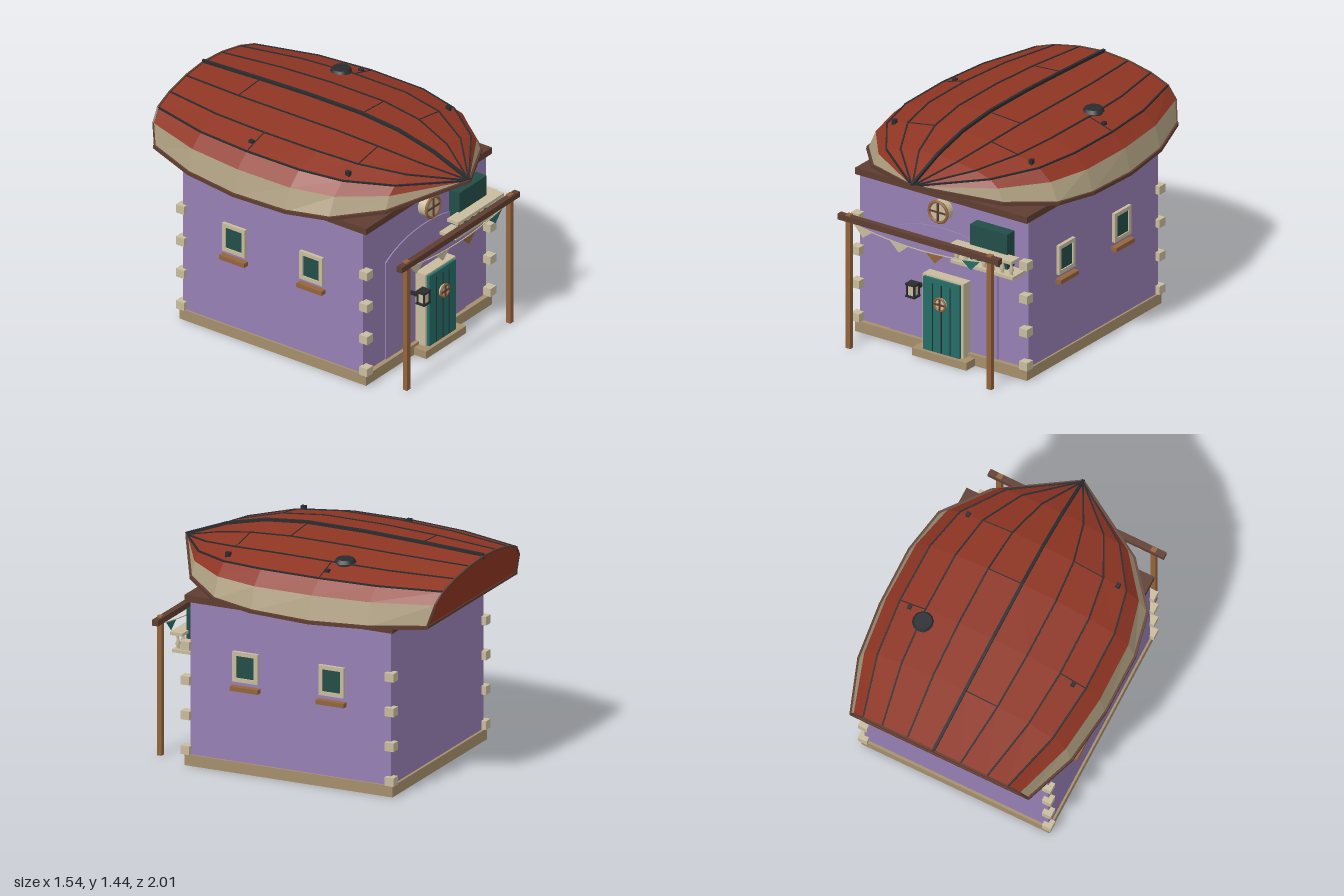
import * as THREE from 'three';

const mat = (name, color, double) => {
  const m = new THREE.MeshStandardMaterial({ color });
  m.name = name;
  if (double) m.side = THREE.DoubleSide;
  return m;
};

export function createModel() {
  const lilac = mat('lilac plaster', 0x967fb4);
  const stone = mat('base stone', 0xa58e6c);
  const cream = mat('cream stone', 0xc8bc9e, true);
  const hullTan = mat('hull tan', 0xb0a182);
  const red = mat('hull red', 0x8f3523, true);
  const darkBrown = mat('dark timber', 0x5f3d31);
  const brown = mat('light timber', 0x94643c, true);
  const teal = mat('teal paint', 0x246d67, true);
  const glass = mat('dark glass', 0x234d47);
  const charcoal = mat('charcoal', 0x2a2b2e, true);

  const model = new THREE.Group();
  const group = (name, parent = model) => {
    const g = new THREE.Group();
    g.name = name;
    parent.add(g);
    return g;
  };
  const add = (parent, name, geo, material) => {
    const m = new THREE.Mesh(geo, material);
    m.name = name;
    parent.add(m);
    return m;
  };
  // Box given by its extents on each axis
  const box = (parent, name, material, x0, x1, y0, y1, z0, z1) => {
    const m = add(parent, name, new THREE.BoxGeometry(x1 - x0, y1 - y0, z1 - z0), material);
    m.position.set((x0 + x1) / 2, (y0 + y1) / 2, (z0 + z1) / 2);
    return m;
  };
  // Square bar between two points
  const bar = (parent, name, material, a, b, w, h) => {
    const m = add(parent, name, new THREE.BoxGeometry(w, h, a.distanceTo(b) + w * 0.4), material);
    m.position.copy(a).lerp(b, 0.5);
    m.lookAt(b);
    return m;
  };
  const barLine = (parent, name, material, pts, w, h) => {
    for (let i = 0; i + 1 < pts.length; i++) bar(parent, name, material, pts[i], pts[i + 1], w, h);
  };
  // Flat-shaded sheet through rows of points
  const sheet = (rows, flip) => {
    const pos = [];
    for (let s = 0; s + 1 < rows.length; s++) {
      for (let j = 0; j + 1 < rows[s].length; j++) {
        const a = rows[s][j], b = rows[s + 1][j], c = rows[s + 1][j + 1], d = rows[s][j + 1];
        for (const p of flip ? [a, c, b, a, d, c] : [a, b, c, a, c, d]) pos.push(p.x, p.y, p.z);
      }
    }
    const g = new THREE.BufferGeometry();
    g.setAttribute('position', new THREE.Float32BufferAttribute(pos, 3));
    g.computeVertexNormals();
    return g;
  };
  const V = (x, y, z) => new THREE.Vector3(x, y, z);

  // House body, base and eaves
  const house = group('house');
  box(house, 'walls', lilac, -0.62, 0.62, 0.03, 1.04, -0.683, 0.667);
  box(house, 'base', stone, -0.633, 0.633, 0, 0.07, -0.7, 0.7);
  box(house, 'doorStep', stone, -0.15, 0.25, 0, 0.05, 0.69, 0.79);
  box(house, 'eaves', darkBrown, -0.633, 0.633, 1.035, 1.078, -0.7, 0.7);
  const arch = new THREE.Shape();
  arch.moveTo(-0.4, 0.07).lineTo(0.4, 0.07).lineTo(0.4, 0.73);
  arch.quadraticCurveTo(0.25, 0.83, 0, 0.83).quadraticCurveTo(-0.25, 0.83, -0.4, 0.73);
  add(house, 'archPanel', new THREE.ExtrudeGeometry(arch, { depth: 0.008, bevelEnabled: false }), lilac).position.z = 0.667;

  // Corner stones
  for (const x of [-0.62, 0.62]) for (const z of [-0.685, 0.69]) for (const y of [0.1, 0.32, 0.54, 0.76])
    box(house, 'cornerStone', cream, x - 0.03, x + 0.03, y - 0.027, y + 0.027, z - 0.03, z + 0.03);

  // Side windows
  for (const side of [-1, 1]) for (const z of [-0.29, 0.29]) {
    const w = group('sideWindow');
    w.position.set(side * 0.62, 0.675, z);
    w.rotation.y = side * Math.PI / 2;
    for (const s of [-1, 1]) {
      box(w, 'frameUpright', cream, s * 0.0725 - 0.0125, s * 0.0725 + 0.0125, -0.095, 0.095, 0, 0.022);
      box(w, 'frameRail', cream, -0.06, 0.06, s * 0.0825 - 0.0125, s * 0.0825 + 0.0125, 0, 0.022);
    }
    box(w, 'pane', glass, -0.06, 0.06, -0.07, 0.07, 0, 0.014);
    box(w, 'sill', brown, -0.095, 0.095, -0.15, -0.122, 0, 0.04);
  }

  // Round window with ring and cross
  const porthole = (name, x, y, z, r, depth, tube) => {
    const p = group(name);
    p.position.set(x, y, z);
    const disc = add(p, 'pane', new THREE.CylinderGeometry(r, r, depth, 20), cream);
    disc.rotation.x = Math.PI / 2;
    disc.position.z = -depth / 2;
    add(p, 'ring', new THREE.TorusGeometry(r, tube, 6, 20), brown);
    box(p, 'crossBar', darkBrown, -r, r, -0.005, 0.005, -0.005, 0.008);
    box(p, 'crossPost', darkBrown, -0.005, 0.005, -r, r, -0.005, 0.008);
  };
  porthole('gableRoundWindow', 0, 0.96, 0.73, 0.067, 0.065, 0.01);

  // Door
  const door = group('door');
  box(door, 'doorFrame', cream, -0.1, 0.2, 0.05, 0.54, 0.667, 0.75);
  box(door, 'doorLeaf', teal, -0.085, 0.182, 0.05, 0.53, 0.74, 0.766);
  for (const x of [-0.016, 0.05, 0.113]) box(door, 'plankGap', charcoal, x - 0.003, x + 0.003, 0.055, 0.5, 0.762, 0.769);
  porthole('doorRoundWindow', 0.05, 0.38, 0.783, 0.04, 0.02, 0.007);

  // Wall lantern
  const lantern = group('lantern');
  box(lantern, 'glass', cream, -0.178, -0.132, 0.39, 0.46, 0.752, 0.796);
  box(lantern, 'cap', charcoal, -0.19, -0.12, 0.457, 0.47, 0.742, 0.806);
  box(lantern, 'foot', charcoal, -0.19, -0.12, 0.38, 0.392, 0.742, 0.806);
  box(lantern, 'bracket', charcoal, -0.165, -0.145, 0.415, 0.435, 0.667, 0.755);
  for (const x of [-0.181, -0.129]) for (const z of [0.75, 0.798])
    box(lantern, 'cornerBar', charcoal, x - 0.005, x + 0.005, 0.39, 0.46, z - 0.005, z + 0.005);

  // Balcony and the window behind it
  const balcony = group('balcony');
  box(balcony, 'balconyWindow', glass, 0.245, 0.52, 0.72, 0.95, 0.667, 0.745);
  box(balcony, 'floor', cream, 0.14, 0.6, 0.69, 0.71, 0.667, 0.8);
  box(balcony, 'handrail', cream, 0.14, 0.6, 0.797, 0.817, 0.73, 0.815);
  const balusterGeo = new THREE.LatheGeometry(
    [[0.013, 0], [0.009, 0.012], [0.017, 0.03], [0.008, 0.06], [0.008, 0.075], [0.013, 0.087]].map(p => new THREE.Vector2(...p)), 8);
  for (let i = 0; i < 7; i++) add(balcony, 'baluster', balusterGeo, cream).position.set(0.17 + i * 0.067, 0.71, 0.775);

  // Porch posts, beam and bunting
  const porch = group('porch');
  for (const x of [-0.52, 0.52]) box(porch, 'post', brown, x - 0.017, x + 0.017, 0, 0.882, 0.904, 0.935);
  box(porch, 'beam', darkBrown, -0.595, 0.592, 0.835, 0.872, 0.9, 0.94);
  const cordY = x => 0.778 + 0.052 * (x / 0.51) ** 2;
  const cord = [];
  for (let i = 0; i <= 10; i++) cord.push(V(-0.51 + i * 0.102, cordY(-0.51 + i * 0.102), 0.92));
  barLine(porch, 'buntingCord', cream, cord, 0.005, 0.005);
  [[-0.42, cream], [-0.155, cream], [0.11, brown], [0.375, teal]].forEach(([x, m]) => {
    const f = new THREE.Shape();
    f.moveTo(x - 0.07, cordY(x - 0.07)).lineTo(x, cordY(x) - 0.062).lineTo(x + 0.07, cordY(x + 0.07));
    add(porch, 'flag', new THREE.ShapeGeometry(f), m).position.z = 0.92;
  });

  // Upturned boat roof: stations are z, keel height, chine half-width, gunwale half-width, gunwale height
  const roof = group('boatRoof');
  const stations = [
    [1, 1.23, 0, 0, 1.228], [0.73, 1.335, 0.44, 0.48, 1.14], [0.47, 1.395, 0.645, 0.7, 1.105],
    [0.19, 1.42, 0.715, 0.757, 1.085], [-0.2, 1.418, 0.72, 0.757, 1.072], [-0.57, 1.405, 0.68, 0.715, 1.082],
    [-0.95, 1.385, 0.56, 0.595, 1.095]];
  const arc = [[1, 0], [0.87, 0.44], [0.63, 0.72], [0.32, 0.92], [0, 1]];
  const chineY = 1.23;
  const rings = stations.map(([z, top, half, gun, gunY], s) => {
    const lean = y => (s === stations.length - 1 ? z - (y - chineY) * 0.28 : z);
    const right = [V(gun, gunY, lean(gunY))];
    for (const [fx, fy] of arc) {
      const y = chineY + (top - chineY) * fy;
      right.push(V(half * fx, y, lean(y)));
    }
    const left = right.slice(0, -1).reverse().map(p => V(-p.x, p.y, p.z));
    return right.concat(left);
  });
  const n = rings[0].length;
  const stern = rings[rings.length - 1];
  add(roof, 'hullBottom', sheet(rings.map(r => r.slice(1, n - 1))), red);
  for (const k of [0, n - 2]) {
    const strake = rings.map(r => r.slice(k, k + 2));
    add(roof, 'hullSide', sheet(strake), hullTan);
    add(roof, 'hullSideInner', sheet(strake, true), charcoal);
  }
  add(roof, 'transom', sheet(arc.concat([0]).map((_, j) => [stern[j], stern[n - 1 - j]])), red);
  add(roof, 'innerDeck', sheet(rings.map(r => [r[1], r[n - 2]].map(p => V(p.x * 0.99, 1.223, p.z * 0.99)))), charcoal);

  // Gunwale rails, stern trim, keel and plank seams
  for (const k of [0, n - 1]) barLine(roof, 'gunwaleRail', darkBrown, rings.map(r => r[k]), 0.022, 0.022);
  barLine(roof, 'sternTrim', darkBrown, stern, 0.012, 0.012);
  bar(roof, 'sternRail', darkBrown, stern[0], stern[n - 1], 0.016, 0.016);
  for (let k = 2; k < n - 2; k++) {
    const keel = k === 5;
    barLine(roof, keel ? 'keel' : 'plankSeam', charcoal, rings.map(r => r[k]), keel ? 0.018 : 0.01, keel ? 0.036 : 0.01);
  }

  // Point on the hull bottom at a station and ring position
  const butt = (s, k) => bar(roof, 'plankJoint', charcoal, rings[s][k], rings[s][k + 1], 0.006, 0.006);
  [[5, 5], [3, 4], [2, 3], [2, 6], [4, 7], [4, 2]].forEach(([s, k]) => butt(s, k));

  // Round vent and small deck fittings
  const vent = group('roofVent', roof);
  vent.position.set(0.43, 1.36, -0.28);
  add(vent, 'ventBase', new THREE.CylinderGeometry(0.05, 0.055, 0.05, 12), charcoal);
  add(vent, 'ventCap', new THREE.CylinderGeometry(0.055, 0.068, 0.022, 12), charcoal).position.y = 0.022;
  for (const s of [-1, 1]) {
    box(roof, 'fitting', charcoal, s * 0.55 - 0.012, s * 0.55 + 0.012, 1.315, 1.35, -0.235, -0.205);
    box(roof, 'fitting', charcoal, s * 0.505 - 0.012, s * 0.505 + 0.012, 1.305, 1.345, 0.455, 0.485);
  }
  return model;
}
